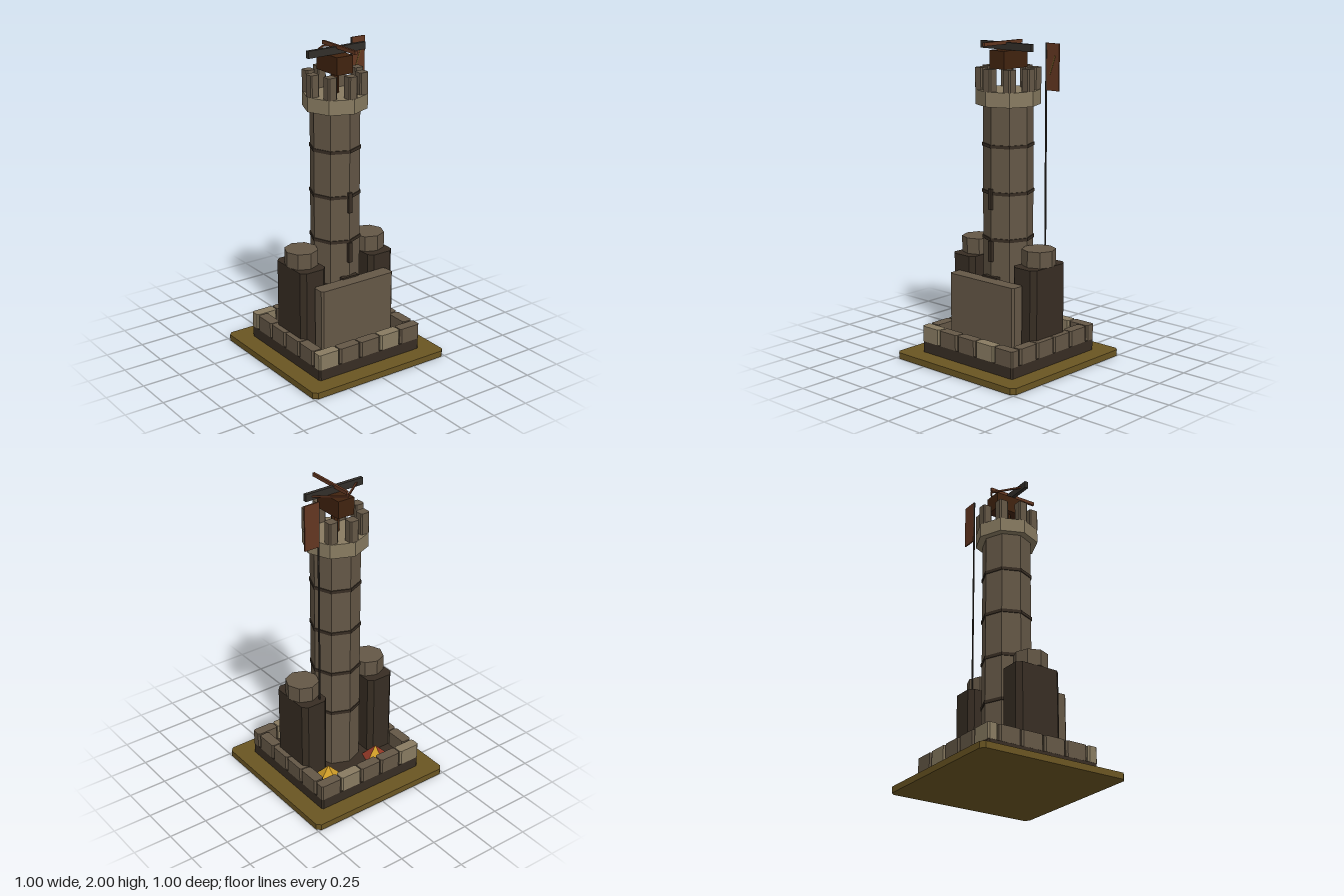
import * as THREE from 'three';

const mat = (name, color) => {
  const m = new THREE.MeshStandardMaterial({ color });
  m.name = name;
  return m;
};

export function createModel() {
  const model = new THREE.Group();
  model.name = 'fortressTower';

  const earth = mat('earth', 0x6a5522);
  const stone = mat('stone', 0x645746);
  const paleStone = mat('pale stone', 0x887b61);
  const darkStone = mat('dark stone', 0x372d23);
  const iron = mat('iron', 0x322e29);
  const darkWood = mat('dark wood', 0x41230f);
  const redWood = mat('red wood', 0x633721);
  const gold = mat('gold', 0xcc9a26);
  const red = mat('red', 0x963a28);

  const add = (name, geometry, material, x = 0, y = 0, z = 0, parent = model) => {
    const mesh = new THREE.Mesh(geometry, material);
    mesh.name = name;
    mesh.position.set(x, y, z);
    parent.add(mesh);
    return mesh;
  };

  const group = (name) => {
    const g = new THREE.Group();
    g.name = name;
    model.add(g);
    return g;
  };

  // Upright block with chamfered vertical edges, standing on its origin
  const block = (w, h, d, c) => {
    const x = w / 2, y = d / 2;
    const shape = new THREE.Shape([
      [-x + c, -y], [x - c, -y], [x, -y + c], [x, y - c],
      [x - c, y], [-x + c, y], [-x, y - c], [-x, -y + c],
    ].map(([a, b]) => new THREE.Vector2(a, b)));
    return new THREE.ExtrudeGeometry(shape, { depth: h, bevelEnabled: false }).rotateX(-Math.PI / 2);
  };

  // Faceted prism standing on its origin
  const prism = (r, h, sides = 8) => {
    const g = new THREE.CylinderGeometry(r, r, h, sides).toNonIndexed();
    g.computeVertexNormals();
    return g.translate(0, h / 2, 0);
  };

  // Ground slab and plinth
  add('ground', block(1, 0.04, 1, 0.025), earth);
  add('plinth', block(0.765, 0.07, 0.765, 0.01), darkStone, 0, 0.04);

  // Low wall of blocks around the plinth
  const lowWall = group('lowWall');
  for (const s of [-1, 1]) {
    for (let i = 0; i < 5; i++) {
      add('wallBlock', block(0.148, 0.1, 0.067, 0.01), i % 3 ? stone : paleStone,
        (i - 2) * 0.155, 0.11, s * 0.35, lowWall);
    }
    for (let i = 0; i < 4; i++) {
      add('wallBlock', block(0.067, 0.1, 0.148, 0.01), stone,
        s * 0.35, 0.11, (i - 1.5) * 0.155, lowWall);
    }
  }

  // Main tower with bands, doorway and arrow slits
  add('tower', prism(0.155, 1.51), stone, 0, 0.11);
  for (let i = 0; i < 4; i++) {
    add('band', prism(0.161, 0.02), darkStone, 0, 0.49 + i * 0.29);
  }
  add('doorway', new THREE.BoxGeometry(0.12, 0.45, 0.03), darkStone, 0, 0.335, 0.155);
  for (const y of [0.718, 1.045]) {
    add('arrowSlit', new THREE.BoxGeometry(0.026, 0.13, 0.03), darkStone, 0, y, 0.154);
  }

  // Crown and merlons
  add('crown', prism(0.2, 0.09), paleStone, 0, 1.615);
  const merlons = group('merlons');
  for (let i = 0; i < 8; i++) {
    const a = i * Math.PI / 4;
    add('merlon', block(0.062, 0.135, 0.062, 0.008), stone,
      Math.sin(a) * 0.162, 1.705, Math.cos(a) * 0.162, merlons);
  }

  // Front shield wall
  add('frontWall', block(0.54, 0.44, 0.09, 0.012), stone, 0, 0.11, 0.205);

  // Side turrets
  for (const s of [-1, 1]) {
    add('sideTurret', block(0.185, 0.54, 0.308, 0.03), darkStone, s * 0.256, 0.11);
    add('turretCap', prism(0.106, 0.1), stone, s * 0.254, 0.65);
  }

  // Faceted fires; each digit picks gold (0) or red (1) for a face
  const fire = (x, z, turn, faces) => {
    const g = new THREE.ConeGeometry(0.089, 0.085, 5, 1, true, Math.PI).toNonIndexed();
    g.computeVertexNormals();
    g.clearGroups();
    faces.forEach((f, i) => g.addGroup(i * 3, 3, f));
    add('fire', g, [gold, red], x, 0.153, z).rotation.y = turn;
  };
  fire(-0.165, -0.213, 0, [1, 0, 0, 1, 0]);
  fire(0.207, -0.207, 0, [0, 1, 1, 0, 0]);
  fire(0.14, 0.212, -0.2, [0, 1, 0, 0, 0]);

  // Crossbow engine on the roof
  const engine = group('crossbowEngine');
  add('post', prism(0.025, 0.14), darkWood, 0, 1.7, 0, engine);
  add('body', new THREE.BoxGeometry(0.116, 0.11, 0.21), darkWood, 0, 1.89, -0.003, engine);
  add('bow', new THREE.BoxGeometry(0.414, 0.045, 0.024), iron, 0, 1.967, 0.014, engine);
  add('bolt', new THREE.BoxGeometry(0.015, 0.022, 0.335), redWood, 0, 1.989, 0.047, engine);
  for (const s of [-1, 1]) {
    const dx = 0.16, dz = 0.125;
    const string = add('string', new THREE.BoxGeometry(0.01, 0.01, Math.hypot(dx, dz)), redWood,
      s * dx / 2, 1.966, 0.005 - dz / 2, engine);
    string.rotation.y = s * Math.atan2(dx, dz);
  }

  // Flag on its pole
  add('flagPole', prism(0.006, 1.34, 6), iron, 0.205, 0.65, -0.115);
  add('flag', new THREE.BoxGeometry(0.1, 0.285, 0.009), redWood, 0.255, 1.848, -0.117);
  add('flagStripe', new THREE.BoxGeometry(0.007, 0.12, 0.003), earth, 0.256, 1.86, -0.112)
    .rotation.z = -0.35;

  return model;
}
